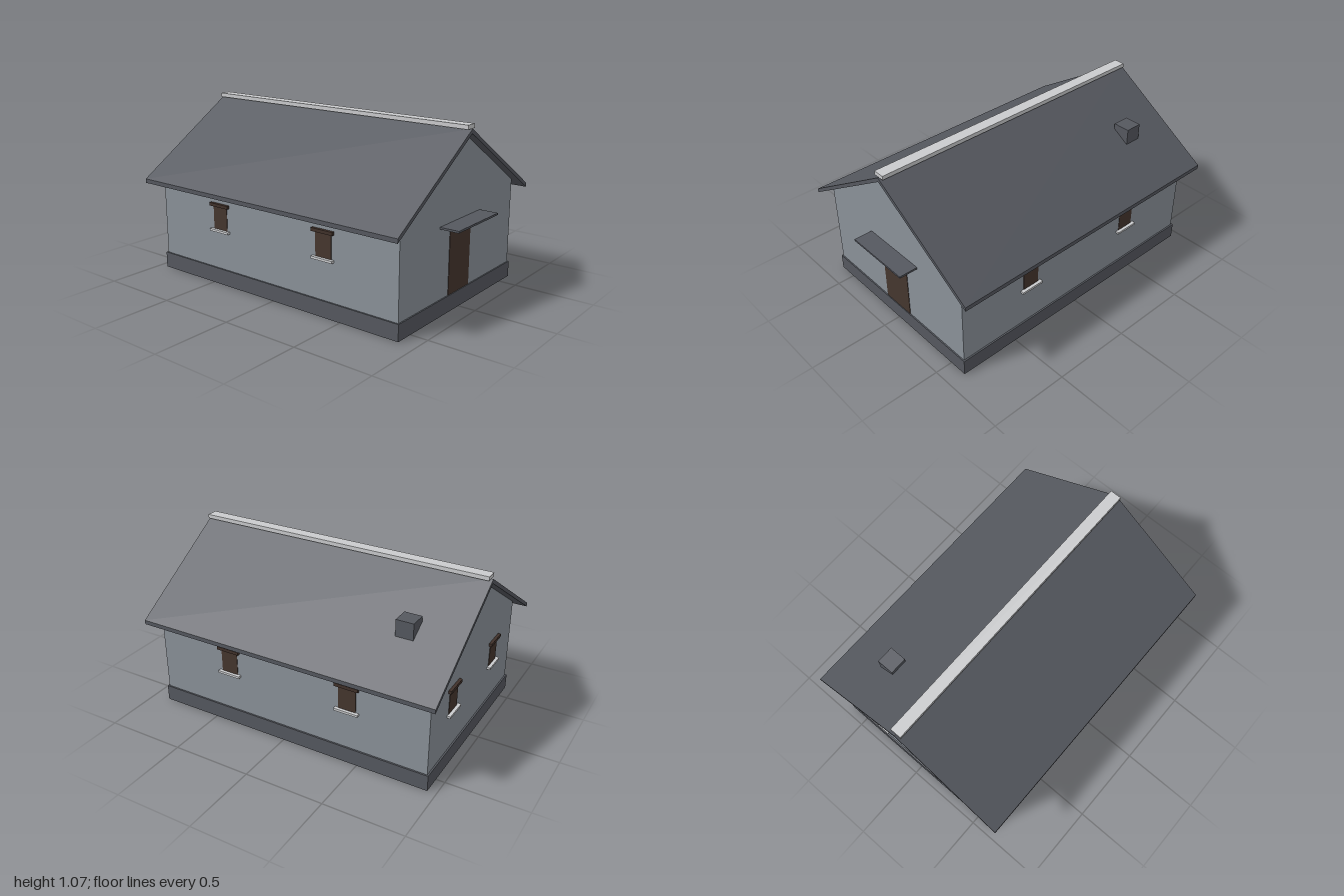
import * as THREE from 'three';

const mat = (name, color) => new THREE.MeshStandardMaterial({ name, color });

export function createModel() {
  const plaster = mat('wall grey', 0x8a9199);
  const slate = mat('slate', 0x55585f);
  const wood = mat('brown wood', 0x45362e);
  const beam = mat('dark beam', 0x40312a);
  const stone = mat('pale stone', 0xcacbcd);

  const house = new THREE.Group();
  house.name = 'house';

  const add = (name, geometry, material, parent = house) => {
    const mesh = new THREE.Mesh(geometry, material);
    mesh.name = name;
    parent.add(mesh);
    return mesh;
  };
  // Box given by its minimum and maximum on each axis
  const box = (name, material, [x0, x1], [y0, y1], [z0, z1], parent = house) => {
    const mesh = add(name, new THREE.BoxGeometry(x1 - x0, y1 - y0, z1 - z0), material, parent);
    mesh.position.set((x0 + x1) / 2, (y0 + y1) / 2, (z0 + z1) / 2);
    return mesh;
  };
  // Cross-section in x and y, extruded from z0 to z1
  const prism = (points, z0, z1) => {
    const shape = new THREE.Shape(points.map(([x, y]) => new THREE.Vector2(x, y)));
    return new THREE.ExtrudeGeometry(shape, { depth: z1 - z0, bevelEnabled: false }).translate(0, 0, z0);
  };

  const halfWidth = 0.607, front = 0.882, back = -0.936;

  // Plinth: hollow skirt with a floor at its top
  const baseX = 0.617, baseFront = 0.89, baseBack = -0.946, t = 0.02;
  const plinth = new THREE.Group();
  plinth.name = 'plinth';
  house.add(plinth);
  for (const s of [-1, 1]) {
    const xs = s > 0 ? [baseX - t, baseX] : [-baseX, t - baseX];
    box('plinthSide', slate, xs, [0, 0.1], [baseBack, baseFront], plinth);
  }
  box('plinthFront', slate, [t - baseX, baseX - t], [0, 0.1], [baseFront - t, baseFront], plinth);
  box('plinthBack', slate, [t - baseX, baseX - t], [0, 0.1], [baseBack, baseBack + t], plinth);
  box('floor', slate, [t - baseX, baseX - t], [0.09, 0.1], [baseBack + t, baseFront - t], plinth);

  // Walls with gables
  add('walls', prism([
    [-halfWidth, 0.1], [halfWidth, 0.1], [halfWidth, 0.638], [0, 1.023], [-halfWidth, 0.638],
  ], back, front), plaster);

  // Pitched roof and ridge cap
  add('roof', prism([
    [-0.705, 0.577], [0, 1.023], [0.705, 0.577], [0.705, 0.603], [0, 1.05], [-0.705, 0.603],
  ], -1, 0.935), slate);
  box('ridgeCap', stone, [-0.036, 0.036], [1.049, 1.074], [-0.988, 0.928]);

  // Chimney
  box('chimney', slate, [0.308, 0.416], [0.77, 0.889], [-0.727, -0.618]);

  // Door, its lintel and canopy
  box('door', wood, [-0.113, 0.113], [0.1, 0.488], [front - 0.003, front + 0.003]);
  box('doorFoot', wood, [-0.113, 0.113], [0.01, 0.09], [baseFront - t - 0.004, baseFront - t + 0.004]);
  box('doorLintel', beam, [-0.15, 0.15], [0.5, 0.52], [front - 0.01, 0.9]);
  box('canopy', slate, [-0.22, 0.22], [0.52, 0.532], [front - 0.01, 1]);

  // Window facing its own +z, with lintel and sill
  const addWindow = (x, z, angle) => {
    const win = new THREE.Group();
    win.name = 'window';
    box('windowPane', wood, [-0.056, 0.056], [0.35, 0.5], [-0.003, 0.003], win);
    box('windowLintel', beam, [-0.076, 0.076], [0.498, 0.518], [-0.01, 0.018], win);
    box('windowSill', stone, [-0.076, 0.076], [0.339, 0.353], [-0.01, 0.022], win);
    win.position.set(x, 0, z);
    win.rotation.y = angle;
    house.add(win);
  };
  for (const s of [-1, 1]) {
    for (const z of [0.377, -0.43]) addWindow(s * halfWidth, z, s * Math.PI / 2);
    addWindow(s * 0.303, back, Math.PI);
  }

  return house;
}
